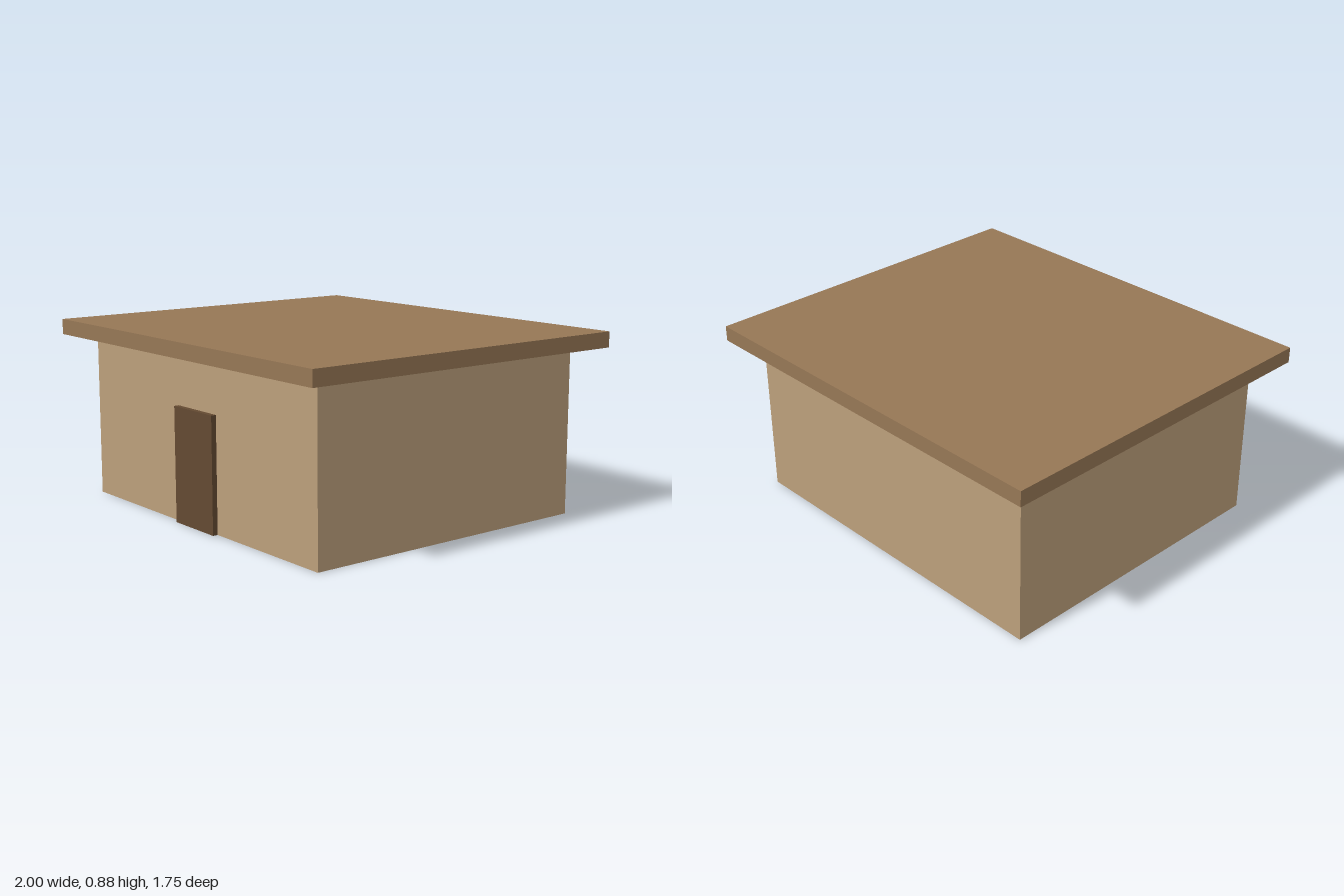
import * as THREE from 'three';

// Box given by its size, base height and z centre
function block(name, color, [w, h, d], baseY, z = 0) {
  const mesh = new THREE.Mesh(
    new THREE.BoxGeometry(w, h, d),
    new THREE.MeshStandardMaterial({ color })
  );
  mesh.name = name;
  mesh.position.set(0, baseY + h / 2, z);
  return mesh;
}

export function createModel() {
  const house = new THREE.Group();
  house.name = 'house';

  const wallHeight = 0.8;
  const wallDepth = 1.5;

  house.add(
    block('walls', 0xbc9f7b, [1.75, wallHeight, wallDepth], 0),
    // Flat slab overhanging the walls on every side
    block('roof', 0x967755, [2, 0.075, 1.75], wallHeight),
    // Door panel set into the front wall, standing slightly proud
    block('door', 0x644a32, [0.3, 0.55, 0.05], 0, wallDepth / 2)
  );
  return house;
}
